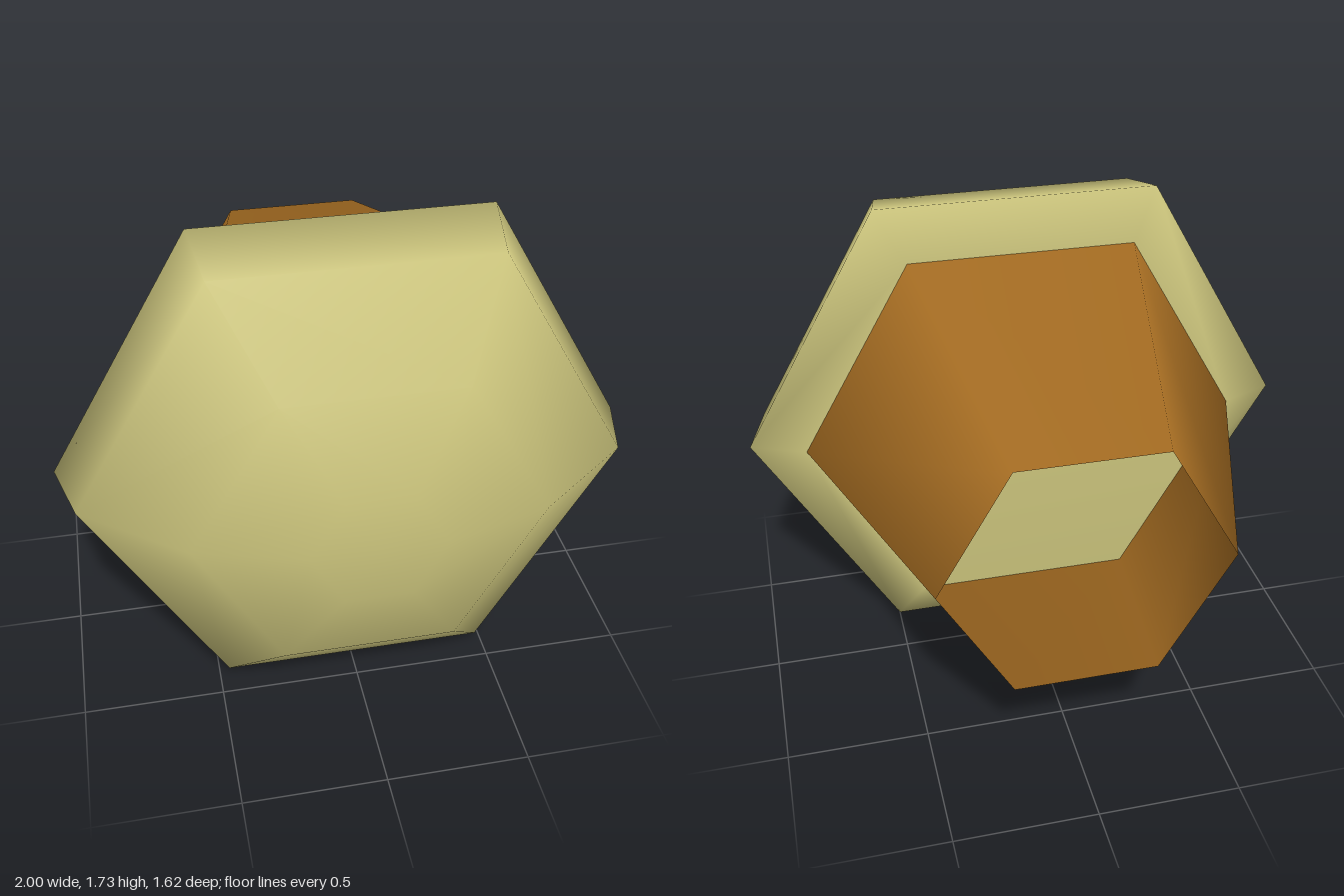
import * as THREE from 'three';

const SIDES = 6;
const CENTRE_Y = 0.866;

// Six-sided lathe whose axis runs along z, with corners on +x and -x.
// Profile points are [radius, z], from back to front.
function hexLathe(name, profile, material) {
  const points = profile.map(([r, z]) => new THREE.Vector2(r, z));
  const geometry = new THREE.LatheGeometry(points, SIDES);
  geometry.rotateY(Math.PI / 2);
  geometry.rotateX(Math.PI / 2);
  const mesh = new THREE.Mesh(geometry, material);
  mesh.name = name;
  mesh.position.y = CENTRE_Y;
  return mesh;
}

export function createModel() {
  const khaki = new THREE.MeshStandardMaterial({ color: 0xcbc47c });
  const brown = new THREE.MeshStandardMaterial({ color: 0xa66d22, side: THREE.DoubleSide });
  khaki.name = 'khaki';
  brown.name = 'brown';

  const group = new THREE.Group();
  group.name = 'hexagonalKnob';

  // Domed cap, closed at the back and front
  group.add(hexLathe('cap', [
    [0, 0.12], [0.8, 0.12], [1, 0.2], [0.935, 0.44],
    [0.59, 0.705], [0.225, 0.81], [0, 0.81],
  ], khaki));

  // Hollow tapered stem, open at the back
  group.add(hexLathe('stem', [[0.49, -0.81], [0.802, 0.12]], brown));

  return group;
}
